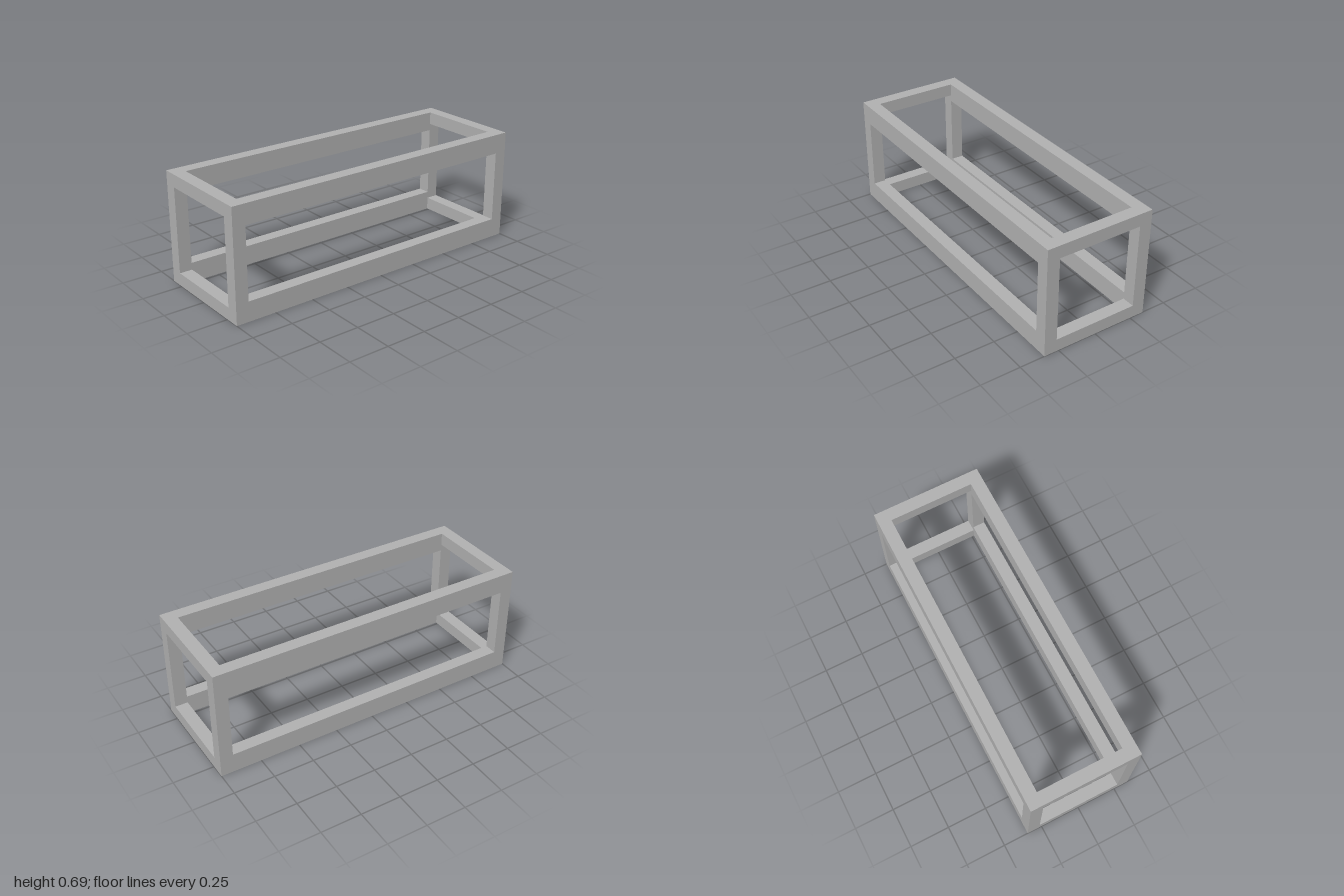
import * as THREE from 'three';

const LENGTH = 2, HEIGHT = 0.687, DEPTH = 0.687;
const BAR = 0.079;         // thickness of posts and end rails
const RAIL_HEIGHT = 0.122; // the long rails are taller

export function createModel() {
  const group = new THREE.Group();
  group.name = 'openBoxFrame';
  const grey = new THREE.MeshStandardMaterial({ color: 0xb2b2b2 });
  grey.name = 'grey';

  const addBar = (name, [w, h, d], [x, y, z]) => {
    const bar = new THREE.Mesh(new THREE.BoxGeometry(w, h, d), grey);
    bar.name = name;
    bar.position.set(x, y, z);
    group.add(bar);
  };

  const postX = (LENGTH - BAR) / 2;
  const railZ = (DEPTH - BAR) / 2;

  for (const [level, isTop] of [['bottom', false], ['top', true]]) {
    // Centre height of a bar flush with the outer face of this level
    const flush = (h) => (isTop ? HEIGHT - h / 2 : h / 2);

    // Long rails along the front and back
    for (const [side, s] of [['Front', 1], ['Back', -1]])
      addBar(`${level}${side}Rail`, [LENGTH, RAIL_HEIGHT, BAR], [0, flush(RAIL_HEIGHT), s * railZ]);

    // Short end rails fitted between the long rails
    for (const [side, s] of [['Left', 1], ['Right', -1]])
      addBar(`${level}${side}EndRail`, [BAR, BAR, DEPTH - 2 * BAR], [s * postX, flush(BAR), 0]);
  }

  // Corner posts between the lower and upper long rails
  for (const [face, sz] of [['front', 1], ['back', -1]])
    for (const [side, sx] of [['Left', 1], ['Right', -1]])
      addBar(`${face}${side}Post`, [BAR, HEIGHT - 2 * RAIL_HEIGHT, BAR], [sx * postX, HEIGHT / 2, sz * railZ]);

  return group;
}
